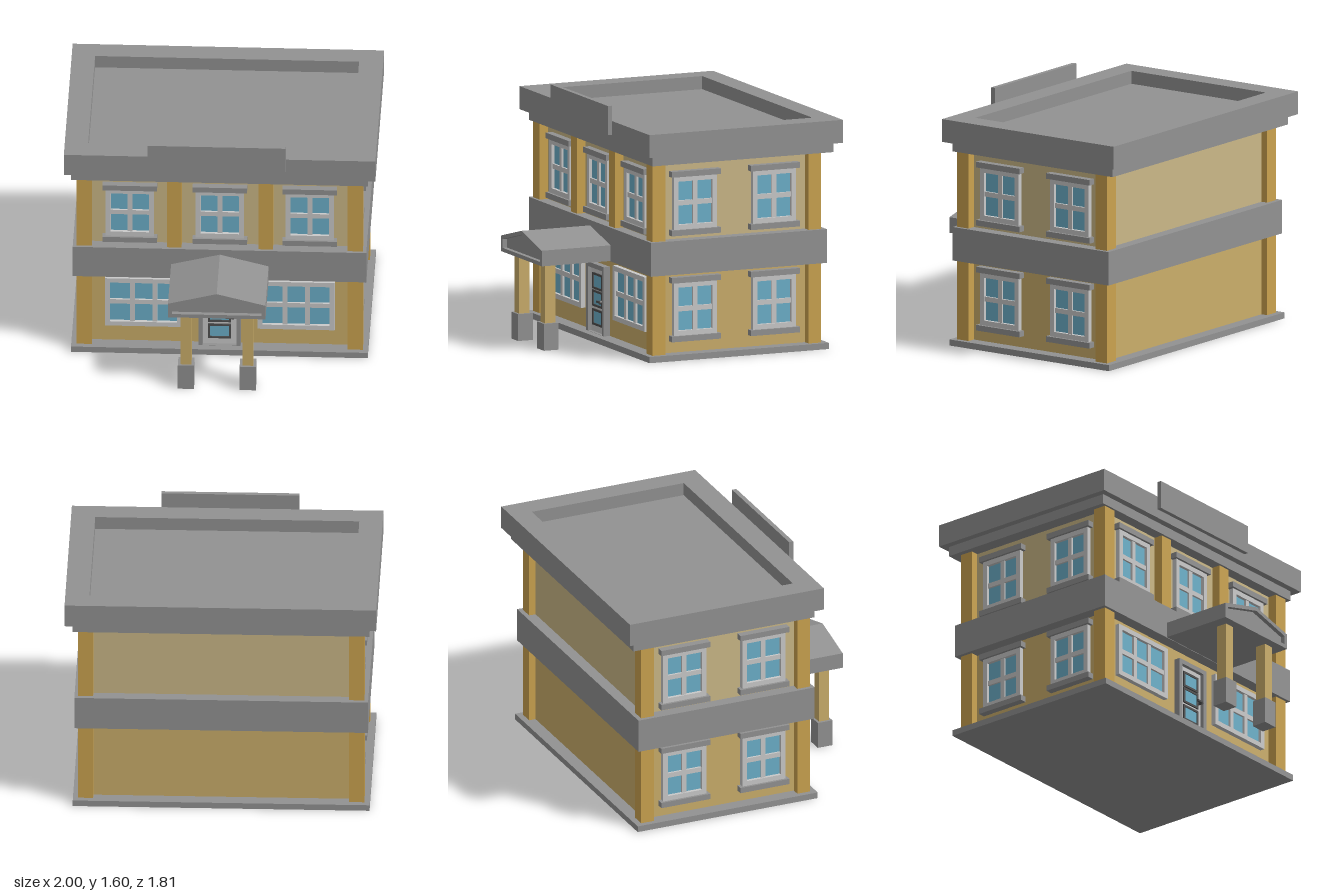
import * as THREE from 'three';

const mat = (name, color) => {
  const m = new THREE.MeshStandardMaterial({ color });
  m.name = name;
  return m;
};

export function createModel() {
  const stone = mat('grey stone', 0x929292);
  const lowerTan = mat('lower wall tan', 0xcbae6a);
  const upperTan = mat('upper wall tan', 0xcbb887);
  const ochre = mat('pillar ochre', 0xcba34f);
  const white = mat('frame white', 0xcacaca);
  const blue = mat('glass blue', 0x6cb0ca);
  const dark = mat('dark metal', 0x505050);

  const model = new THREE.Group();
  model.name = 'townBuilding';

  const add = (parent, name, geometry, material) => {
    const mesh = new THREE.Mesh(geometry, material);
    mesh.name = name;
    parent.add(mesh);
    return mesh;
  };
  // Box given by its limits on each axis
  const box = (parent, name, material, x0, x1, y0, y1, z0, z1) => {
    const mesh = add(parent, name, new THREE.BoxGeometry(x1 - x0, y1 - y0, z1 - z0), material);
    mesh.position.set((x0 + x1) / 2, (y0 + y1) / 2, (z0 + z1) / 2);
    return mesh;
  };
  const rect = (Type, x0, x1, y0, y1) => new Type([
    [x0, y0], [x1, y0], [x1, y1], [x0, y1],
  ].map(([x, y]) => new THREE.Vector2(x, y)));
  // Rectangular ring standing on the z = 0 plane
  const ring = (parent, name, material, outer, inner, depth) => {
    const shape = rect(THREE.Shape, ...outer);
    shape.holes.push(rect(THREE.Path, ...inner));
    return add(parent, name, new THREE.ExtrudeGeometry(shape, { depth, bevelEnabled: false }), material);
  };

  // Storeys and horizontal bands
  box(model, 'plinth', stone, -0.955, 0.95, 0, 0.04, -0.83, 0.437);
  box(model, 'lowerWalls', lowerTan, -0.865, 0.86, 0.04, 0.6, -0.745, 0.34);
  box(model, 'upperWalls', upperTan, -0.865, 0.86, 0.74, 1.3, -0.745, 0.34);
  box(model, 'middleBand', stone, -0.945, 0.94, 0.56, 0.78, -0.82, 0.42);
  box(model, 'lowerCornice', stone, -0.955, 0.95, 1.28, 1.345, -0.86, 0.415);

  // Corner pillars and the two upper front pillars
  for (const [y0, y1] of [[0.04, 0.56], [0.78, 1.28]]) {
    for (const x of [-0.92, 0.82]) {
      for (const z of [-0.79, 0.31]) {
        box(model, 'cornerPillar', ochre, x, x + 0.097, y0, y1, z, z + 0.09);
      }
    }
  }
  for (const x of [-0.34, 0.247]) {
    box(model, 'frontPillar', ochre, x, x + 0.093, 0.78, 1.28, 0.3, 0.4);
  }

  // Roof slab with a raised parapet
  box(model, 'roofDeck', stone, -0.9, 0.9, 1.35, 1.41, -0.8, 0.36);
  const parapet = ring(model, 'parapet', stone, [-1, 1, -0.46, 0.905], [-0.85, 0.845, -0.31, 0.76], 0.15);
  parapet.rotation.x = -Math.PI / 2;
  parapet.position.y = 1.345;
  box(model, 'signBoard', stone, -0.46, 0.425, 1.405, 1.595, 0.46, 0.49);

  // Window facing +z, centred on the origin: glass, frame, bars, optional ledges
  const makeWindow = (w, h, columns, ledges) => {
    const g = new THREE.Group();
    g.name = 'window';
    const a = w / 2, b = h / 2, t = 0.032;
    box(g, 'glass', blue, -a + 0.01, a - 0.01, -b + 0.01, b - 0.01, 0.002, 0.01);
    ring(g, 'windowFrame', white, [-a, a, -b, b], [-a + t, a - t, -b + t, b - t], 0.032);
    box(g, 'crossBar', white, -a + t, a - t, -0.016, 0.016, 0, 0.024);
    for (let i = 1; i < columns; i++) {
      const x = -a + t + (w - 2 * t) * i / columns;
      box(g, 'uprightBar', white, x - 0.016, x + 0.016, -b + t, b - t, 0, 0.024);
    }
    if (ledges) {
      box(g, 'lintel', stone, -a - 0.02, a + 0.02, b, b + 0.037, 0, 0.048);
      box(g, 'sill', stone, -a - 0.02, a + 0.02, -b - 0.037, -b, 0, 0.048);
    }
    model.add(g);
    return g;
  };

  // Front windows
  for (const x of [-0.58, -0.002, 0.575]) {
    makeWindow(0.31, 0.35, 2, true).position.set(x, 1.015, 0.34);
  }
  for (const x of [-0.492, 0.488]) {
    makeWindow(0.495, 0.355, 3, false).position.set(x, 0.342, 0.34);
  }
  // Side windows on both floors
  for (const side of [-1, 1]) {
    for (const y of [1.015, 0.325]) {
      for (const z of [0.085, -0.472]) {
        const w = makeWindow(0.305, 0.345, 2, true);
        w.position.set(side > 0 ? 0.86 : -0.865, y, z);
        w.rotation.y = side * Math.PI / 2;
      }
    }
  }

  // Door with three glazed panels and a lever handle
  const door = new THREE.Group();
  door.name = 'door';
  door.position.set(-0.004, 0, 0.34);
  model.add(door);
  ring(door, 'doorFrame', stone, [-0.136, 0.136, 0.04, 0.49], [-0.108, 0.108, 0.041, 0.46], 0.045);
  box(door, 'doorLeaf', white, -0.108, 0.108, 0.04, 0.46, 0, 0.02);
  for (const y of [0.085, 0.207, 0.32]) {
    box(door, 'doorGlass', blue, -0.06, 0.06, y + 0.01, y + 0.095, 0.02, 0.024);
    ring(door, 'panelTrim', dark, [-0.074, 0.074, y, y + 0.106], [-0.06, 0.06, y + 0.014, y + 0.092], 0.01)
      .position.z = 0.02;
  }
  const knob = add(door, 'handleStem', new THREE.CylinderGeometry(0.012, 0.012, 0.035, 12), dark);
  knob.rotation.x = Math.PI / 2;
  knob.position.set(0.085, 0.253, 0.035);
  box(door, 'handleLever', dark, 0.04, 0.09, 0.247, 0.26, 0.045, 0.056);

  // Porch canopy: gabled body with a recessed gable on the front
  const gable = (Type, a, bottom, eave, ridge) => new Type([
    [-a, bottom], [a, bottom], [a, eave], [0, ridge], [-a, eave],
  ].map(([x, y]) => new THREE.Vector2(x, y)));
  const body = gable(THREE.Shape, 0.313, 0.563, 0.665, 0.745);
  add(model, 'canopyBody', new THREE.ExtrudeGeometry(body, { depth: 0.475, bevelEnabled: false }), stone)
    .position.z = 0.4;
  const rim = gable(THREE.Shape, 0.313, 0.563, 0.665, 0.745);
  rim.holes.push(gable(THREE.Path, 0.288, 0.588, 0.645, 0.72));
  add(model, 'canopyRim', new THREE.ExtrudeGeometry(rim, { depth: 0.03, bevelEnabled: false }), stone)
    .position.z = 0.875;

  // Porch posts on stone blocks
  for (const x of [-0.2, 0.197]) {
    box(model, 'porchPost', lowerTan, x - 0.035, x + 0.035, 0.17, 0.565, 0.772, 0.845);
    box(model, 'postBlock', stone, x - 0.052, x + 0.052, 0, 0.175, 0.757, 0.86);
  }
  return model;
}
